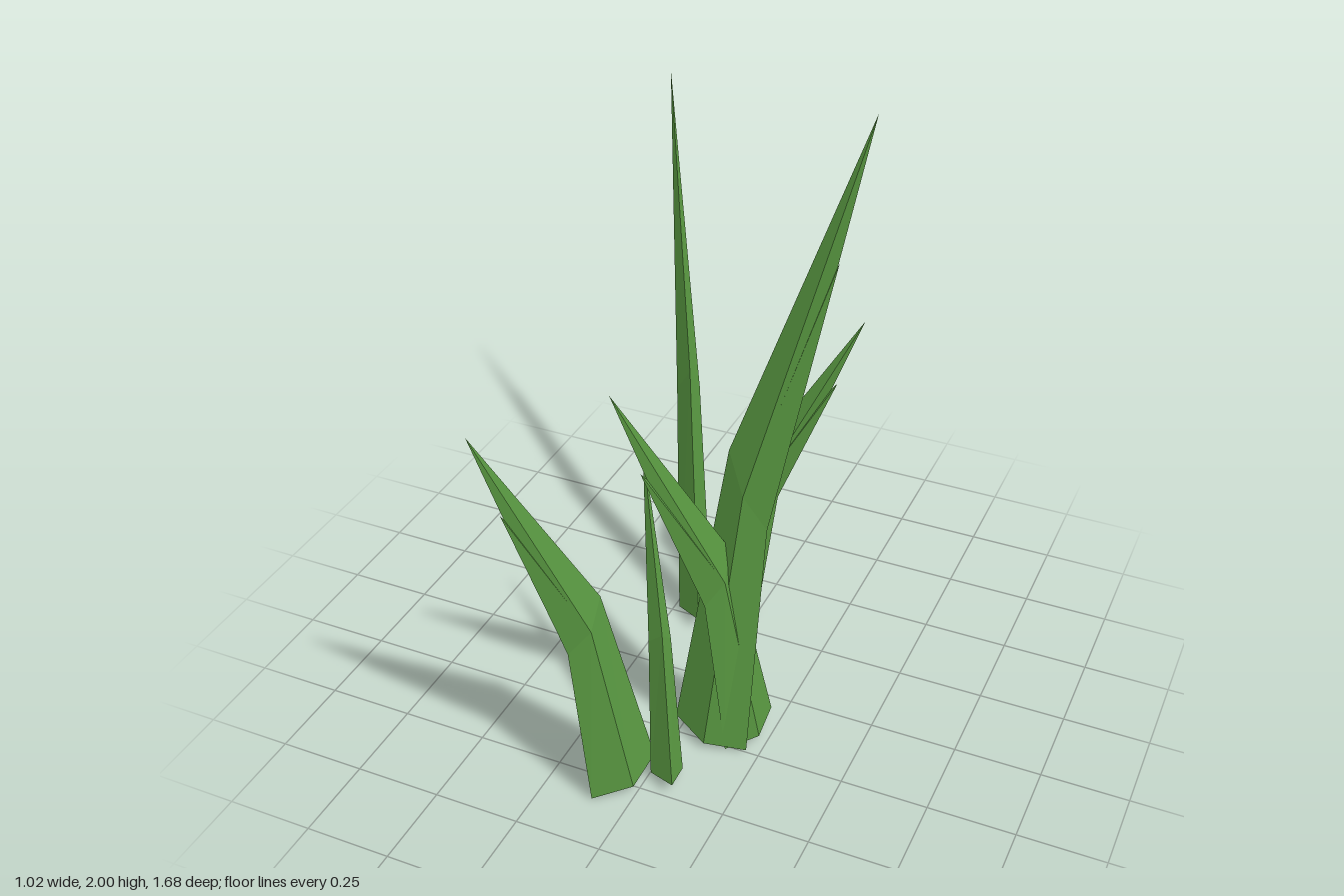
import * as THREE from 'three';

const material = new THREE.MeshStandardMaterial({ color: 0x5a9a42, flatShading: true });

// Diamond cross-section: inner edge, side, outer edge, side
const diamond = (s, halfDepth, halfWidth, yIn, yOut) => [
  [s - halfDepth, yIn, 0],
  [s, (yIn + yOut) / 2, halfWidth],
  [s + halfDepth, yOut, 0],
  [s, (yIn + yOut) / 2, -halfWidth],
];

// Skin a stack of four-cornered rings and close the bottom
function loft(rings) {
  const pos = rings.flat(2);
  const idx = [0, 3, 2, 0, 2, 1];
  for (let r = 0; r < rings.length - 1; r++) {
    for (let i = 0; i < 4; i++) {
      const a = r * 4 + i, b = r * 4 + (i + 1) % 4;
      idx.push(a, b, b + 4);
      // the last ring is a single point, so it needs one triangle per side
      if (r < rings.length - 2) idx.push(a, b + 4, a + 4);
    }
  }
  const g = new THREE.BufferGeometry();
  g.setAttribute('position', new THREE.Float32BufferAttribute(pos, 3));
  g.setIndex(idx);
  const flat = g.toNonIndexed();
  flat.computeVertexNormals();
  return flat;
}

const point = (s, y) => Array.from({ length: 4 }, () => [s, y, 0]);

// A blade stands upright to its kink, then leans along local +x to a sharp tip
function makeBlade({ name, base, tip, depth, width, kink = 0.525 }) {
  const [bx, bz] = base, [tx, h, tz] = tip;
  const reach = Math.hypot(tx - bx, tz - bz);
  const bend = (k) => diamond(0.26 * reach, 0.5 * depth * k, 0.68 * width * k, kink * h, (kink - 0.11) * h);

  const blade = new THREE.Group();
  blade.name = name;
  const leaf = new THREE.Mesh(
    loft([diamond(0, depth, width, 0.055, 0.005), bend(1), point(reach, h)]), material);
  leaf.name = name + 'Leaf';

  // Shorter spike along the outer edge
  const keel = new THREE.Mesh(loft([bend(0.98), point(0.81 * reach, 0.805 * h)]), material);
  keel.name = name + 'Keel';

  blade.add(leaf, keel);
  blade.position.set(bx, 0, bz);
  blade.rotation.y = Math.atan2(-(tz - bz), tx - bx);
  return blade;
}

export function createModel() {
  const model = new THREE.Group();
  model.name = 'grassTuft';
  const blades = [
    { name: 'tallBlade', base: [0.10, 0.24], tip: [0.51, 2.0, 0.25], depth: 0.11, width: 0.05, kink: 0.505 },
    { name: 'frontBlade', base: [-0.05, 0.5], tip: [-0.25, 1.3, 0.84], depth: 0.105, width: 0.05 },
    { name: 'leaningBlade', base: [0.19, 0.18], tip: [0, 1.34, 0.6], depth: 0.09, width: 0.045 },
    { name: 'shortBlade', base: [0.05, 0.43], tip: [-0.13, 0.91, 0.17], depth: 0.087, width: 0.045 },
    { name: 'backBlade', base: [-0.18, -0.27], tip: [-0.51, 1.54, -0.84], depth: 0.105, width: 0.05 },
    { name: 'backSmallBlade', base: [-0.08, -0.335], tip: [0.3, 1.11, -0.36], depth: 0.08, width: 0.045 },
  ];
  for (const b of blades) model.add(makeBlade(b));
  return model;
}
